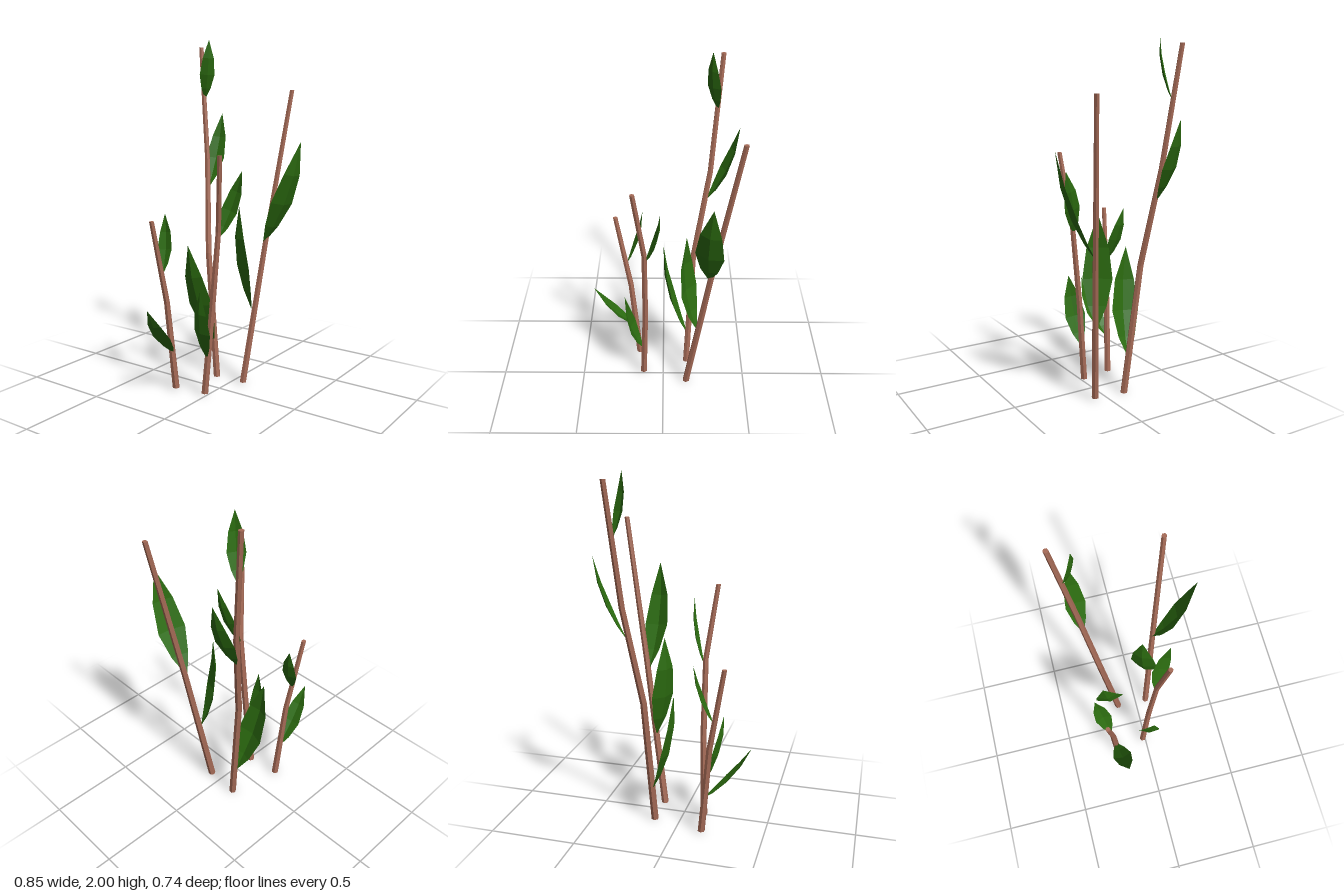
import * as THREE from 'three';

const bark = new THREE.MeshStandardMaterial({ color: 0xa66b57, flatShading: true });
const green = new THREE.MeshStandardMaterial({ color: 0x2c6c10, flatShading: true, side: THREE.DoubleSide });

// Tapered six-sided stem: a cylinder whose rings are moved onto the path nodes
function makeStem(path) {
  const n = path.length - 1;
  const geo = new THREE.CylinderGeometry(0.014, 0.021, 1, 6, n);
  const p = geo.attributes.position;
  for (let i = 0; i < p.count; i++) {
    const [x, y, z] = path[Math.round((p.getY(i) + 0.5) * n)];
    p.setXYZ(i, p.getX(i) + x, y, p.getZ(i) + z);
  }
  geo.computeVertexNormals();
  const mesh = new THREE.Mesh(geo, bark);
  mesh.name = 'stem';
  return mesh;
}

// Outline of every leaf: [position along the midrib, share of full half width]
const OUTLINE = [[0, 0.06], [0.18, 0.62], [0.42, 1], [0.7, 0.74], [1, 0]];

// Folded leaf that sags below the line from base to tip; [sx, sz] is the direction across
function makeLeaf({ base, tip, width, across }) {
  const a = new THREE.Vector3(...base);
  const b = new THREE.Vector3(...tip);
  const along = b.clone().sub(a);
  const length = along.length();
  const side = new THREE.Vector3(across[0], 0, across[1]).normalize();
  const dir = along.clone().normalize();
  side.addScaledVector(dir, -side.dot(dir)).normalize();
  // Inner side of the leaf, facing up and towards the stem
  const inner = new THREE.Vector3().crossVectors(side, dir);
  if (inner.y < 0) inner.negate();

  const pos = [], index = [];
  OUTLINE.forEach(([t, w], i) => {
    const rib = a.clone().addScaledVector(along, t).addScaledVector(inner, -0.3 * length * t * (1 - t));
    for (const s of [-1, 0, 1]) {
      const v = rib.clone()
        .addScaledVector(side, s * w * width / 2)
        .addScaledVector(inner, Math.abs(s) * w * width * 0.14);
      pos.push(v.x, v.y, v.z);
    }
    if (i === 0) return;
    for (let k = 0; k < 2; k++) {
      const q = (i - 1) * 3 + k;
      index.push(q, q + 1, q + 3);
      index.push(q + 1, q + 4, q + 3);
    }
  });
  const geo = new THREE.BufferGeometry();
  geo.setAttribute('position', new THREE.Float32BufferAttribute(pos, 3));
  geo.setIndex(index);
  geo.computeVertexNormals();
  const mesh = new THREE.Mesh(geo, green);
  mesh.name = 'leaf';
  return mesh;
}

const TWIGS = [
  {
    name: 'tallBackTwig',
    path: [[0.147, 0, -0.122], [0.178, 0.75, -0.205], [0.265, 1.3, -0.275], [0.317, 1.96, -0.357]],
    leaves: [
      { base: [0.148, 0.21, -0.15], tip: [0, 0.82, -0.225], width: 0.175, across: [0.02, -1] },
      { base: [0.25, 1.13, -0.26], tip: [0.42, 1.57, -0.275], width: 0.115, across: [0.25, 1] },
      { base: [0.295, 1.66, -0.315], tip: [0.255, 2, -0.255], width: 0.09, across: [0.75, 0.65] },
    ],
  },
  {
    name: 'leaningFrontTwig',
    path: [[0.142, 0.01, 0.07], [0.265, 0.85, 0.142], [0.403, 1.71, 0.222]],
    leaves: [
      { base: [0.255, 0.84, 0.135], tip: [0.25, 1.43, 0.37], width: 0.16, across: [1, 0.38] },
      { base: [0.195, 0.45, 0.09], tip: [0.13, 1.06, 0.045], width: 0.165, across: [0.53, -0.85] },
    ],
  },
  {
    name: 'shortBackTwig',
    path: [[-0.152, 0.01, -0.2], [-0.2, 0.53, -0.222], [-0.284, 1, -0.255]],
    leaves: [
      { base: [-0.17, 0.225, -0.205], tip: [-0.425, 0.54, -0.175], width: 0.115, across: [0.12, 1] },
      { base: [-0.222, 0.69, -0.235], tip: [-0.125, 1.02, -0.29], width: 0.095, across: [0.1, 1] },
    ],
  },
  {
    name: 'bentMiddleTwig',
    path: [[-0.122, 0.01, -0.015], [-0.106, 0.5, 0.025], [-0.106, 0.95, 0.068], [-0.163, 1.37, 0.117]],
    leaves: [
      { base: [-0.1, 0.91, 0.06], tip: [-0.015, 1.28, 0.16], width: 0.1, across: [0.08, 1] },
      { base: [-0.125, 0.22, 0], tip: [-0.225, 0.63, 0.03], width: 0.125, across: [-0.2, 1] },
    ],
  },
];

export function createModel() {
  const model = new THREE.Group();
  model.name = 'leafyTwigs';
  for (const { name, path, leaves } of TWIGS) {
    const twig = new THREE.Group();
    twig.name = name;
    twig.add(makeStem(path), ...leaves.map(makeLeaf));
    model.add(twig);
  }
  return model;
}
